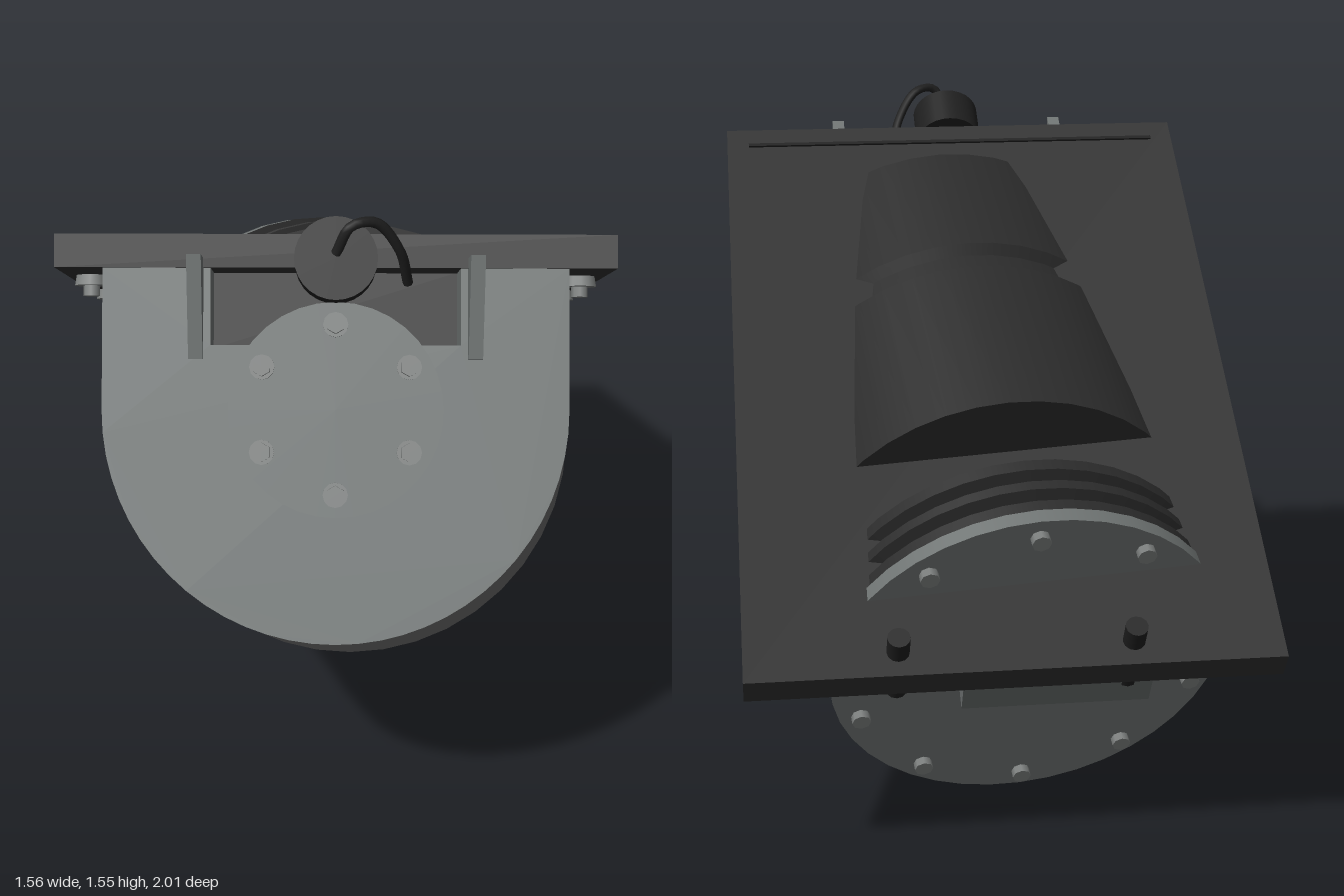
import * as THREE from 'three';

const mat = (name, color) => {
  const m = new THREE.MeshStandardMaterial({ color });
  m.name = name;
  return m;
};
const deg = THREE.MathUtils.degToRad;

export function createModel() {
  const black = mat('black', 0x1f1f1f);
  const plateDark = mat('plate charcoal', 0x303030);
  const drumDark = mat('drum charcoal', 0x2b2b2b);
  const grey = mat('housing grey', 0x6e7372);
  const steel = mat('bolt steel', 0x7a7d7c);

  const root = new THREE.Group();
  root.name = 'winch';
  // body is built level: z along the drum axis, y = 0 on top of the mounting plate
  const body = new THREE.Group();
  body.name = 'tiltedBody';
  body.position.set(0, 1.0, -0.14);
  body.rotation.set(deg(-32.8), deg(17.4), 0, 'YXZ');
  root.add(body);

  const add = (parent, name, geo, material, x = 0, y = 0, z = 0) => {
    const mesh = new THREE.Mesh(geo, material);
    mesh.name = name;
    mesh.position.set(x, y, z);
    parent.add(mesh);
    return mesh;
  };
  // cylinder along z
  const disc = (r, len, seg = 32) => new THREE.CylinderGeometry(r, r, len, seg).rotateX(Math.PI / 2);

  // mounting plate
  add(body, 'mountingPlate', new THREE.BoxGeometry(1.17, 0.07, 1.7), plateDark, 0, -0.035, 0);
  add(body, 'plateSeam', new THREE.BoxGeometry(1.06, 0.006, 0.01), black, 0, 0.002, 0.79);
  for (const side of [-1, 1]) {
    for (const z of [0.64, 0.22, -0.2, -0.62]) {
      add(body, 'plateNut', new THREE.CylinderGeometry(0.033, 0.037, 0.025, 12), steel, side * 0.53, -0.08, z);
      add(body, 'plateBolt', new THREE.CylinderGeometry(0.018, 0.018, 0.03, 8), steel, side * 0.53, -0.1, z);
    }
    add(body, 'rearPin', new THREE.CylinderGeometry(0.025, 0.025, 0.2, 12), black, side * 0.255, -0.045, -0.79);
  }

  // U-shaped end housings
  const AXIS = -0.365, R = 0.485;
  const housing = (name, zBack, depth, notch) => {
    const s = new THREE.Shape();
    s.moveTo(-R, -0.07);
    s.lineTo(-R, AXIS);
    s.absarc(0, AXIS, R, Math.PI, Math.PI * 2, false);
    s.lineTo(R, -0.07);
    if (notch) {
      s.lineTo(0.26, -0.07);
      s.lineTo(0.26, -0.23);
      s.lineTo(-0.26, -0.23);
      s.lineTo(-0.26, -0.07);
    }
    s.closePath();
    const geo = new THREE.ExtrudeGeometry(s, { depth, bevelEnabled: false, curveSegments: 16 });
    return add(body, name, geo, grey, 0, 0, zBack);
  };
  housing('frontHousing', 0.66, 0.18, true);
  housing('rearHousing', -0.45, 0.17, false);
  add(body, 'pocketBack', new THREE.BoxGeometry(0.54, 0.17, 0.05), plateDark, 0, -0.15, 0.69);

  // gusset fins beside the pocket
  for (const side of [-1, 1]) {
    const s = new THREE.Shape([
      new THREE.Vector2(0, -0.26), new THREE.Vector2(0.02, -0.26),
      new THREE.Vector2(0.1, -0.05), new THREE.Vector2(0, -0.05),
    ]);
    const geo = new THREE.ExtrudeGeometry(s, { depth: 0.03, bevelEnabled: false })
      .translate(0, 0, -0.015).rotateY(-Math.PI / 2);
    add(body, 'gussetFin', geo, grey, side * 0.29, 0, 0.835);
  }

  // front hub cover with bolts
  add(body, 'hubCover', disc(0.222, 0.06, 36), grey, 0, AXIS, 0.85);
  for (let i = 0; i < 6; i++) {
    const a = Math.PI / 2 + i * Math.PI / 3;
    const x = Math.cos(a) * 0.175, y = AXIS + Math.sin(a) * 0.175;
    add(body, 'hubWasher', disc(0.026, 0.01, 12), steel, x, y, 0.884);
    add(body, 'hubBolt', disc(0.02, 0.03, 6), steel, x, y, 0.9);
  }

  // cable cap and its lead
  add(body, 'cableCap', disc(0.085, 0.11, 28), black, 0, -0.06, 0.91);
  const lead = new THREE.CatmullRomCurve3([
    new THREE.Vector3(0, -0.05, 0.96), new THREE.Vector3(0.03, 0, 1.0),
    new THREE.Vector3(0.08, 0.01, 0.98), new THREE.Vector3(0.13, -0.04, 0.92),
    new THREE.Vector3(0.15, -0.1, 0.84),
  ]);
  add(body, 'cableLead', new THREE.TubeGeometry(lead, 24, 0.011, 8), black);

  // drum assembly sits slightly askew between the housings
  const drum = new THREE.Group();
  drum.name = 'drumAssembly';
  drum.position.set(0, AXIS, 0.15);
  drum.rotation.set(deg(7), deg(4.5), 0, 'YXZ');
  body.add(drum);
  const lathe = (name, profile, material) => {
    // every segment is its own band, so steps stay sharp
    for (let i = 0; i + 1 < profile.length; i++) {
      const pts = [profile[i], profile[i + 1]].map(([r, z]) => new THREE.Vector2(r, z));
      add(drum, name, new THREE.LatheGeometry(pts, 40).rotateX(Math.PI / 2), material);
    }
  };
  lathe('drum', [[0, -0.45], [0.468, -0.45], [0.468, 0.04], [0.445, 0.06],
    [0.445, 0.11], [0.468, 0.13], [0.468, 0.5], [0, 0.5]], drumDark);
  lathe('brakeRings', [[0, -0.79], [0.455, -0.79], [0.455, -0.75], [0.425, -0.74], [0.425, -0.725],
    [0.455, -0.715], [0.455, -0.69], [0.425, -0.68], [0.425, -0.665], [0.455, -0.655],
    [0.455, -0.625], [0.43, -0.61], [0, -0.61]], drumDark);
  add(drum, 'ringCore', disc(0.3, 0.25), drumDark, 0, 0, -0.52);

  // rear cover with bolts and boss
  add(drum, 'rearCover', disc(0.46, 0.035, 40), grey, 0, 0, -0.8);
  add(drum, 'rearBoss', disc(0.11, 0.06, 24), grey, 0, 0, -0.84);
  for (let i = 0; i < 10; i++) {
    const a = (i + 0.5) * Math.PI / 5;
    add(drum, 'rearBolt', disc(0.022, 0.025, 8), steel, Math.cos(a) * 0.41, Math.sin(a) * 0.41, -0.825);
  }

  // clutch box under the rear of the plate
  add(body, 'clutchBox', new THREE.BoxGeometry(0.42, 0.14, 0.14), grey, -0.1, -0.14, -0.74);
  return root;
}
